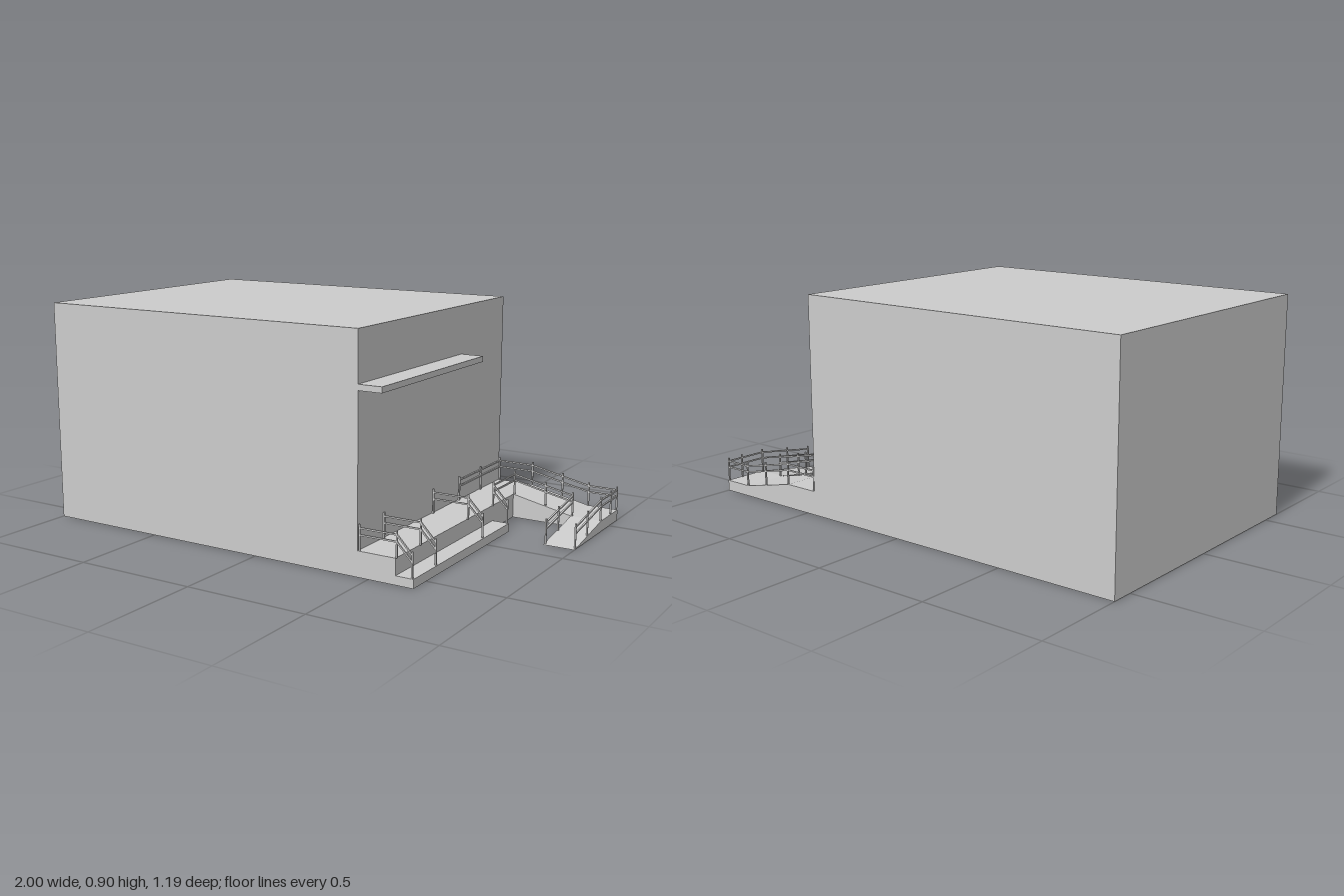
import * as THREE from 'three';

const material = new THREE.MeshStandardMaterial({ color: 0xcccccc, side: THREE.DoubleSide, flatShading: true });
const SIDES = ['+x', '-x', '+y', '-y', '+z', '-z'];

// Hollow block on the ground, open below; top height follows a rule, listed sides are left out
function shell(name, x0, x1, z0, z1, height, skip = []) {
  const geo = new THREE.BoxGeometry(x1 - x0, 1, z1 - z0);
  geo.translate((x0 + x1) / 2, 0.5, (z0 + z1) / 2);
  const p = geo.attributes.position;
  for (let i = 0; i < p.count; i++) {
    if (p.getY(i) > 0.5) p.setY(i, height(p.getX(i), p.getZ(i)));
  }
  const all = Array.from(geo.index.array);
  const left = ['-y', ...skip].map((s) => SIDES.indexOf(s));
  geo.setIndex(all.filter((_, i) => !left.includes(Math.floor(i / 6))));
  geo.clearGroups();
  geo.computeVertexNormals();
  const mesh = new THREE.Mesh(geo, material);
  mesh.name = name;
  return mesh;
}

// Square bar between two points
function bar(name, a, b, size) {
  const mesh = new THREE.Mesh(new THREE.BoxGeometry(size, size, a.distanceTo(b)), material);
  mesh.position.copy(a).add(b).multiplyScalar(0.5);
  if (Math.abs(a.x - b.x) + Math.abs(a.z - b.z) < 1e-6) mesh.rotation.x = Math.PI / 2;
  else mesh.lookAt(b);
  mesh.name = name;
  return mesh;
}

// Railing with a post at each floor point and two rails between neighbours
function railing(name, points) {
  const group = new THREE.Group();
  group.name = name;
  const pts = points.map((p) => new THREE.Vector3(...p));
  const up = (p, h) => p.clone().setY(p.y + h);
  pts.forEach((p, i) => {
    group.add(bar('post', p, up(p, 0.1), 0.006));
    if (i === 0) return;
    for (const h of [0.06, 0.086]) group.add(bar('rail', up(pts[i - 1], h), up(p, h), 0.006));
  });
  return group;
}

export function createModel() {
  const model = new THREE.Group();
  const wall = 0.455, dock = 0.612, step = 0.685, rampEnd = 0.87, back = -0.595, front = 0.595;
  const high = 0.1, mid = 0.045, low = 0.035;

  // Main building and canopy
  model.add(shell('building', -1, wall, back, front, () => 0.905));
  const canopy = new THREE.Mesh(new THREE.BoxGeometry(0.097, 0.023, front + 0.205), material);
  canopy.position.set(wall + 0.0485, 0.697, (front - 0.205) / 2);
  canopy.name = 'canopy';
  model.add(canopy);

  // Raised walkway with a long step beside it
  model.add(shell('walkway', wall, dock, back, front, () => high, ['-x']));
  model.add(shell('longStep', dock, step, -0.205, front, () => low, ['-x']));

  // Ramp that turns a corner down to the ground
  const slope1 = (x) => high + ((mid - high) * (x - dock)) / (rampEnd - dock);
  const slope2 = (z) => (mid * (-0.12 - z)) / 0.285;
  model.add(shell('upperRamp', dock, rampEnd, back, -0.405, (x) => slope1(x), ['+x', '-x']));
  model.add(shell('rampLanding', rampEnd, 1, back, -0.405, () => mid, ['-x', '+z']));
  model.add(shell('lowerRamp', rampEnd, 1, -0.405, -0.12, (x, z) => slope2(z), ['+z', '-z']));

  // Outer railing: along the wall, round the back and down the ramp
  const xo = 0.996, zb = -0.591, xw = 0.461;
  model.add(railing('outerRailing', [
    [xw, high, -0.2], [xw, high, -0.4], [xw, high, zb], [dock + 0.004, high, zb],
    [0.755, slope1(0.755), zb], [rampEnd + 0.003, mid, zb], [xo, mid, zb],
    [xo, mid, -0.52], [xo, mid, -0.405], [xo, slope2(-0.26), -0.26], [xo, slope2(-0.135), -0.135],
  ]));

  // Inner railing
  const xi = rampEnd + 0.004, zi = -0.409;
  model.add(railing('innerRailing', [
    [dock + 0.003, high, -0.2], [dock + 0.003, high, zi], [0.755, slope1(0.755), zi],
    [xi, mid, zi], [xi, slope2(-0.26), -0.26], [xi, slope2(-0.135), -0.135],
  ]));

  // Railings crossing the walkway and dropping to the step
  for (const z of [0.591, 0.415, 0.027, -0.2]) {
    const pts = [[dock + 0.003, high, z], [0.678, low, z]];
    if (z > -0.1) pts.unshift([xw, high, z]);
    model.add(railing('stepRailing', pts));
  }
  return model;
}
